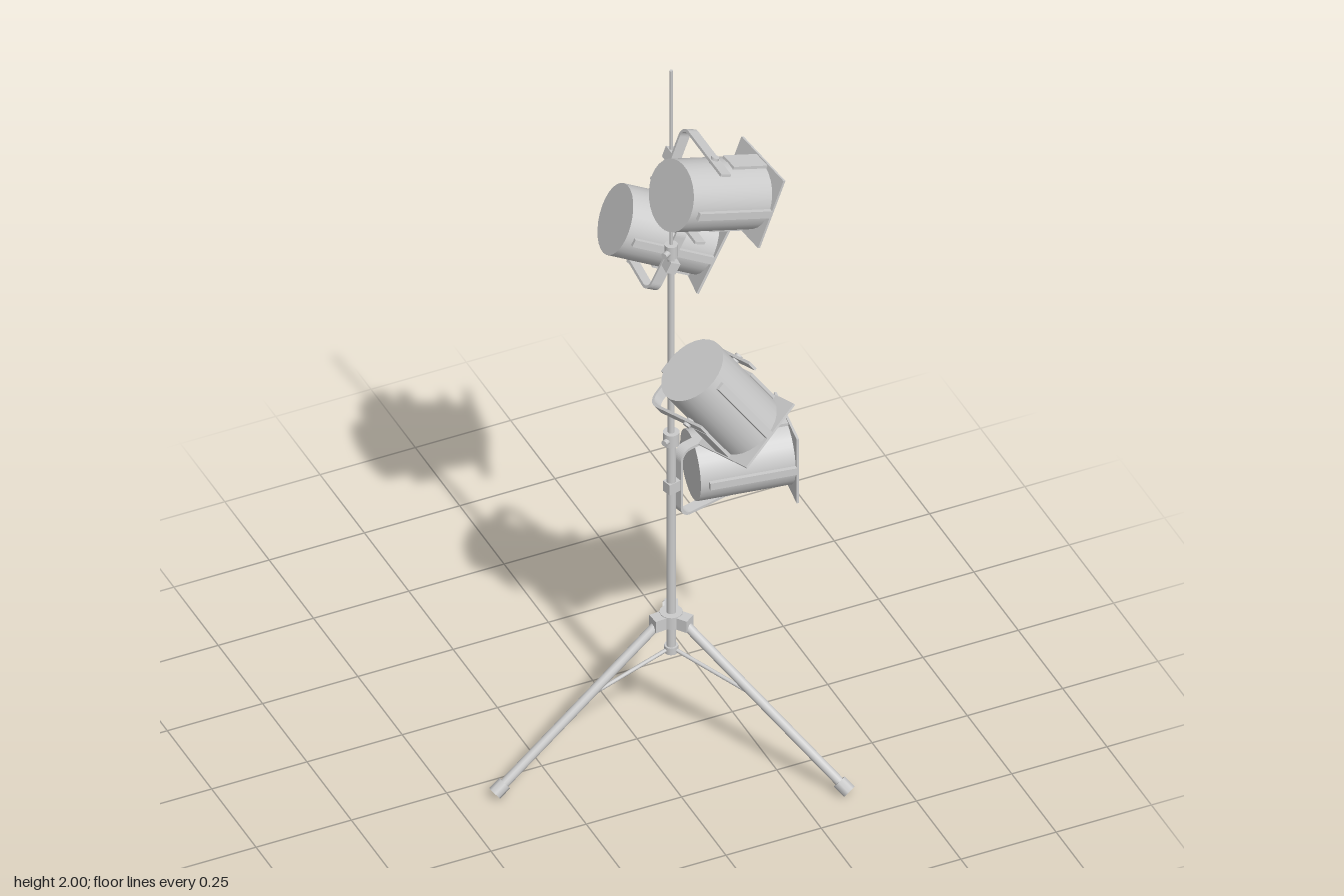
import * as THREE from 'three';

const grey = new THREE.MeshStandardMaterial({ color: 0xcccccc, side: THREE.DoubleSide });
const V = (x, y, z) => new THREE.Vector3(x, y, z);
const POLE_X = 0.08, POLE_Z = 0.02;

function add(parent, name, geometry, x = 0, y = 0, z = 0) {
  const mesh = new THREE.Mesh(geometry, grey);
  mesh.name = name;
  mesh.position.set(x, y, z);
  parent.add(mesh);
  return mesh;
}

// Cylinder running from point a to point b
function rod(parent, name, a, b, r, sides = 12) {
  const mesh = add(parent, name, new THREE.CylinderGeometry(r, r, a.distanceTo(b), sides));
  mesh.position.copy(a).lerp(b, 0.5);
  mesh.quaternion.setFromUnitVectors(V(0, 1, 0), b.clone().sub(a).normalize());
  return mesh;
}

// Group whose local axes are the given directions
function frame(name, origin, x, y, z) {
  const g = new THREE.Group();
  g.name = name;
  g.quaternion.setFromRotationMatrix(new THREE.Matrix4().makeBasis(x, y, z));
  g.position.copy(origin);
  return g;
}

// U-shaped strap: x points away from the pole, y is the pivot axis
function yokeGeometry(reach) {
  const h = 0.1, t = 0.007, r = 0.032, x0 = 0.018, end = reach + 0.065, w = 0.028;
  const s = new THREE.Shape();
  s.moveTo(end, h);
  s.lineTo(x0 + r, h);
  s.absarc(x0 + r, h - r, r, Math.PI / 2, Math.PI, false);
  s.lineTo(x0, -h + r);
  s.absarc(x0 + r, -h + r, r, Math.PI, Math.PI * 1.5, false);
  s.lineTo(end, -h);
  s.lineTo(end, -h + t);
  s.lineTo(x0 + r, -h + t);
  s.absarc(x0 + r, -h + r, r - t, Math.PI * 1.5, Math.PI, true);
  s.lineTo(x0 + t, h - r);
  s.absarc(x0 + r, h - r, r - t, Math.PI, Math.PI / 2, true);
  s.lineTo(end, h - t);
  s.closePath();
  return new THREE.ExtrudeGeometry(s, { depth: w, bevelEnabled: false, curveSegments: 6 }).translate(0, 0, -w / 2);
}

// Lamp can, origin at its pivot, beam along +z
function buildCan(can) {
  const R = 0.088, back = -0.09, front = 0.145;
  const shell = new THREE.CylinderGeometry(R, R, front - back, 28, 1, true).rotateX(Math.PI / 2);
  add(can, 'canShell', shell, 0, 0, (front + back) / 2);
  add(can, 'canBack', new THREE.CircleGeometry(R, 28).rotateY(Math.PI), 0, 0, back);
  add(can, 'lens', new THREE.CircleGeometry(R, 28), 0, 0, front - 0.025);

  // Square colour frame with a round opening
  const e = 0.096;
  const plate = new THREE.Shape([[-e, -e], [e, -e], [e, e], [-e, e]].map(p => new THREE.Vector2(...p)));
  plate.holes.push(new THREE.Path().absarc(0, 0, 0.08, 0, Math.PI * 2, true));
  add(can, 'colourFrame', new THREE.ExtrudeGeometry(plate, { depth: 0.006, bevelEnabled: false, curveSegments: 28 }), 0, 0, front);

  // Long ribs at the sides, short ones above and below in front of the yoke
  for (const s of [-1, 1]) {
    add(can, 'sideRib', new THREE.BoxGeometry(0.012, 0.02, 0.215), s * 0.091, 0, 0.038);
    add(can, 'frameHolder', new THREE.BoxGeometry(0.05, 0.008, 0.1), 0, s * 0.089, 0.095);
    add(can, 'pivotBolt', new THREE.CylinderGeometry(0.01, 0.01, 0.022, 10), 0, s * 0.096, 0);
  }
}

// Lamp held at height y: arm points from the pole, beam is the aim
function addLamp(parent, name, y, arm, beam, reach) {
  const a = V(...arm).normalize(), d = V(...beam).normalize();
  const p = a.clone().cross(d).normalize();
  const root = V(POLE_X, y, POLE_Z);
  const lamp = new THREE.Group();
  lamp.name = name;
  parent.add(lamp);

  const yoke = frame('yoke', root, a, p, a.clone().cross(p));
  add(yoke, 'strap', yokeGeometry(reach));
  add(yoke, 'clamp', new THREE.BoxGeometry(0.036, 0.03, 0.026), 0.003, 0, 0);
  lamp.add(yoke);

  const can = frame('can', root.clone().addScaledVector(a, reach), p.clone().cross(d), p, d);
  buildCan(can);
  lamp.add(can);
}

export function createModel() {
  const model = new THREE.Group();
  model.name = 'lampStand';
  const at = (r, angle, y) => V(POLE_X + r * Math.cos(angle), y, POLE_Z + r * Math.sin(angle));

  // Telescopic pole: bottom, top, radius
  for (const [y0, y1, r] of [[0.26, 0.89, 0.012], [0.89, 1.46, 0.0085], [1.46, 2, 0.004]]) {
    rod(model, 'poleSection', at(0, 0, y0), at(0, 0, y1), r, 14);
  }
  for (const [y, r] of [[0.897, 0.02], [1.46, 0.016]]) {
    rod(model, 'poleCollar', at(0, 0, y - 0.018), at(0, 0, y + 0.018), r, 14);
    rod(model, 'collarKnob', at(0, 2.6, y), at(0.03, 2.6, y), 0.008, 8);
  }

  // Tripod base
  rod(model, 'hub', at(0, 0, 0.34), at(0, 0, 0.375), 0.028, 16);
  rod(model, 'braceHub', at(0, 0, 0.255), at(0, 0, 0.275), 0.017, 12);
  for (let i = 0; i < 3; i++) {
    const angle = THREE.MathUtils.degToRad(54.5 + i * 120);
    const top = at(0.03, angle, 0.357), foot = at(0.487, angle, 0.018);
    rod(model, 'leg', top, foot, 0.012);
    rod(model, 'footCap', top.clone().lerp(foot, 0.94), foot, 0.018, 8);
    rod(model, 'brace', at(0.01, angle, 0.265), top.clone().lerp(foot, 0.44), 0.005, 8);
    const lug = add(model, 'hubLug', new THREE.BoxGeometry(0.035, 0.034, 0.032));
    lug.position.copy(at(0.034, angle, 0.356));
    lug.rotation.y = -angle;
  }

  // Lamps, top to bottom
  addLamp(model, 'topLamp', 1.747, [0, 0, 1], [0.93, -0.346, -0.12], 0.17);
  addLamp(model, 'upperLamp', 1.415, [0.09, 0, -0.99], [0.9, -0.43, 0.16], 0.16);
  addLamp(model, 'middleLamp', 1.097, [0.2, 0.25, 0.95], [0.56, -0.81, 0.07], 0.17);
  addLamp(model, 'lowerLamp', 0.752, [0.97, 0, -0.24], [0.988, 0, 0.15], 0.17);
  return model;
}
